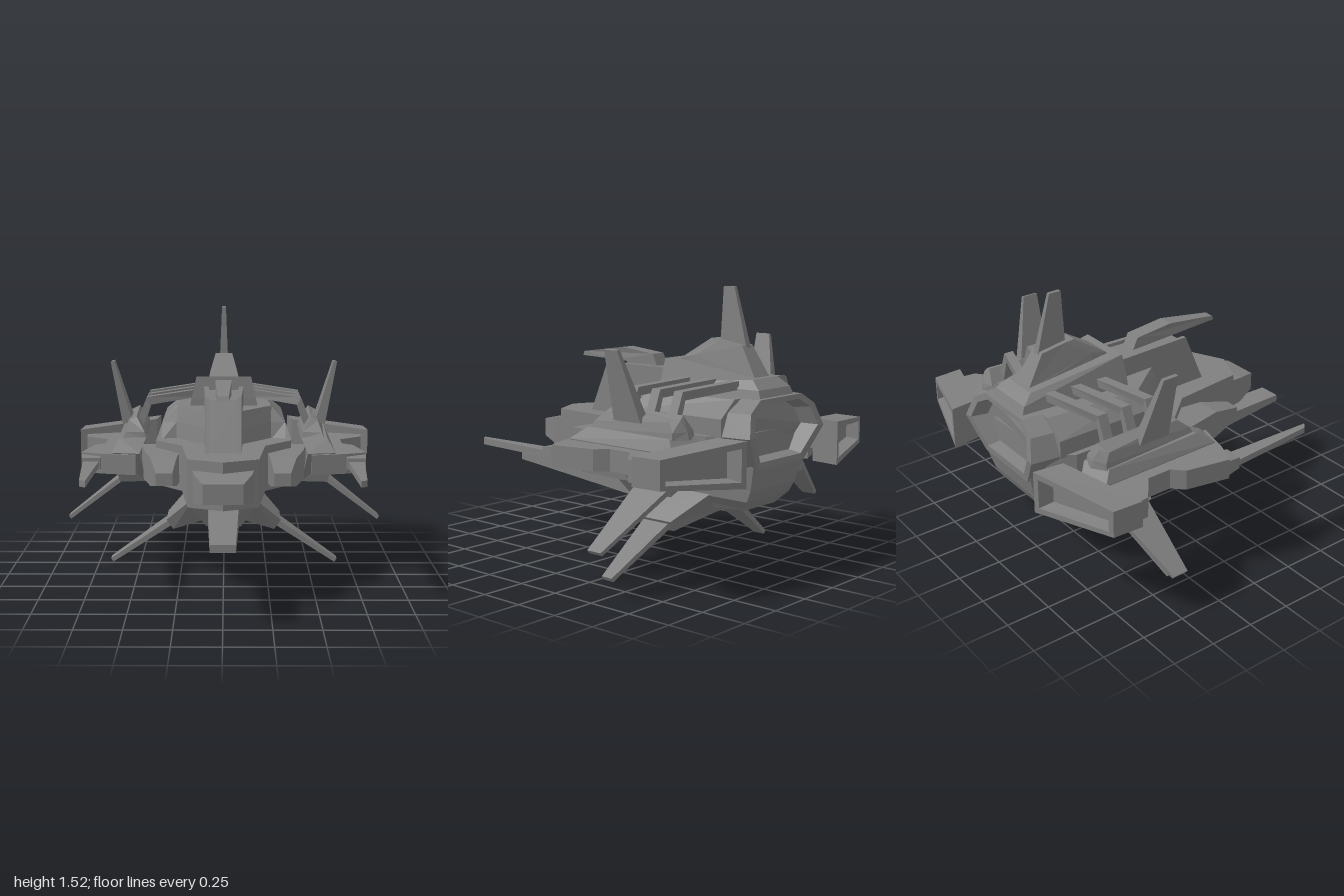
import * as THREE from 'three';

const material = new THREE.MeshStandardMaterial({ color: 0x7f7f7f, flatShading: true });

// Triangles of a ring of points, wound the same way as the ring
function capTriangles(ring) {
  const n = new THREE.Vector3();
  ring.forEach((p, i) => {
    const q = ring[(i + 1) % ring.length];
    n.x += p[1] * q[2] - p[2] * q[1];
    n.y += p[2] * q[0] - p[0] * q[2];
    n.z += p[0] * q[1] - p[1] * q[0];
  });
  const size = n.toArray().map(Math.abs);
  const axis = size.indexOf(Math.max(...size));
  const u = (axis + 1) % 3, v = (axis + 2) % 3;
  const flip = n.getComponent(axis) < 0;
  const points = flip ? [...ring].reverse() : ring;
  const flat = points.map((p) => new THREE.Vector2(p[u], p[v]));
  return THREE.ShapeUtils.triangulateShape(flat, []).map(([a, b, c]) =>
    flip ? [points[a], points[c], points[b]] : [points[a], points[b], points[c]]);
}

// Closed solid through a list of rings with equal point counts
function loft(rings) {
  const tris = capTriangles(rings[0]).map(([a, b, c]) => [a, c, b]);
  for (let i = 0; i + 1 < rings.length; i++) {
    const A = rings[i], B = rings[i + 1];
    for (let j = 0; j < A.length; j++) {
      const k = (j + 1) % A.length;
      tris.push([A[j], A[k], B[k]], [A[j], B[k], B[j]]);
    }
  }
  tris.push(...capTriangles(rings[rings.length - 1]));
  // Turn the solid right side out if its volume is negative
  const volume = tris.reduce((s, [a, b, c]) => s
    + a[0] * (b[1] * c[2] - b[2] * c[1])
    + a[1] * (b[2] * c[0] - b[0] * c[2])
    + a[2] * (b[0] * c[1] - b[1] * c[0]), 0);
  const out = volume < 0 ? tris.map(([a, b, c]) => [a, c, b]) : tris;
  const geometry = new THREE.BufferGeometry();
  geometry.setAttribute('position', new THREE.Float32BufferAttribute(out.flat(2), 3));
  geometry.computeVertexNormals();
  return geometry;
}

// Ring builders
const level = (y, outline) => outline.map(([x, z]) => [x, y, z]);
const both = (half) => [...half, ...half.map(([x, ...r]) => [-x, ...r]).reverse()];
const rect = (z, x0, x1, y0, y1) => [[x0, y0, z], [x1, y0, z], [x1, y1, z], [x0, y1, z]];
function shrink(ring, kx, ky, dz = 0) {
  const c = [0, 1, 2].map((i) => ring.reduce((s, p) => s + p[i], 0) / ring.length);
  return ring.map((p) => [c[0] + (p[0] - c[0]) * kx, c[1] + (p[1] - c[1]) * ky, c[2] + (p[2] - c[2]) * kx + dz]);
}
// Thin slice of a fin: centre in xy, thickness across direction d, extent in z
const slice = ([x, y], d, t, z0, z1) => {
  const l = Math.hypot(...d), nx = -d[1] / l * t / 2, ny = d[0] / l * t / 2;
  return [[x + nx, y + ny, z0], [x - nx, y - ny, z0], [x - nx, y - ny, z1], [x + nx, y + ny, z1]];
};
function finRings(root, tip, rootZ, tipZ, t0, t1) {
  const d = [tip[0] - root[0], tip[1] - root[1]];
  return [slice(root, d, t0, ...rootZ), slice(tip, d, t1, ...tipZ)];
}

export function createModel() {
  const model = new THREE.Group();
  const part = (name, rings) => {
    const mesh = new THREE.Mesh(loft(rings), material);
    mesh.name = name;
    model.add(mesh);
  };
  const pair = (name, rings) => {
    part(name + 'Left', rings);
    part(name + 'Right', rings.map((r) => r.map(([x, y, z]) => [-x, y, z])));
  };

  // Central hull and nose
  const deck = [...both([[0.19, 0.52], [0.235, 0.1], [0.39, -0.08], [0.39, -0.72], [0.3, -0.85]]), [0, 0.61]];
  part('mainDeck', [level(0.52, deck), level(0.78, deck)]);
  part('nose', [rect(0.5, -0.165, 0.165, 0.55, 0.725), rect(0.61, -0.155, 0.155, 0.56, 0.72),
    rect(0.74, -0.105, 0.105, 0.585, 0.69)]);
  part('shoulders', [
    level(0.77, both([[0.1, 0.06], [0.275, -0.16], [0.36, -0.14], [0.36, -0.8]])),
    level(0.87, both([[0.1, 0.03], [0.275, -0.19], [0.36, -0.2], [0.36, -0.8]])),
    level(0.96, both([[0.1, -0.01], [0.27, -0.23], [0.28, -0.24], [0.25, -0.8]]))]);

  // Lower hull and long forward blade
  part('lowerHull', [
    level(0.62, both([[0.2, 0.1], [0.23, -0.91]])),
    level(0.48, both([[0.2, 0.09], [0.2, -0.87]])),
    level(0.42, both([[0.19, 0.06], [0.19, -0.84]])),
    both([[0.1, 0.29, 0], [0.13, 0.36, -0.79]])]);
  part('forwardBlade', [rect(0.02, -0.09, 0.09, 0.31, 0.44), rect(1, -0.065, 0.065, 0.4, 0.44)]);

  // Canopy with side ribs and the prong above it
  const canopySide = (x, lift) => [[x, 0.77, 0.34 + lift], [x, 1.05 + lift, 0.21 + lift],
    [x * 1.2, 1.05 + lift, -0.3], [x * 1.2, 0.77, -0.3]];
  part('canopy', [canopySide(-0.08, 0), canopySide(0.08, 0)]);
  pair('canopyRib', [canopySide(0.075, 0.02), canopySide(0.098, 0.02)]);
  const prong = (x) => [[x * 0.65, 1.085, 0.49], [x * 0.65, 1.11, 0.48], [x, 1.155, 0.16],
    [x, 1.13, -0.07], [x, 1.065, -0.1], [x, 1.08, 0.2]];
  part('topProng', [prong(-0.045), prong(0.045)]);

  // Upper block, tail base and tail fin
  part('upperBlock', [
    both([[0.2, 0.95, -0.25], [0.15, 0.95, -0.89]]),
    both([[0.19, 1.0, -0.25], [0.14, 1.0, -0.87]]),
    both([[0.16, 1.13, -0.26], [0.11, 1.05, -0.81]])]);
  part('tailBase', [
    both([[0.09, 1.08, -0.28], [0.09, 1.08, -0.4], [0.07, 1.03, -0.8]]),
    both([[0.085, 1.13, -0.31], [0.08, 1.15, -0.4], [0.065, 1.05, -0.79]]),
    both([[0.05, 1.245, -0.49], [0.05, 1.24, -0.55], [0.045, 1.215, -0.69]])]);
  part('tailFin', [level(1.2, both([[0.025, -0.53], [0.02, -0.7]])), level(1.52, both([[0.012, -0.54], [0.01, -0.61]]))]);

  // Rear engine housing with a recessed opening
  const octagon = both([[0.2, 0.96], [0.31, 0.9], [0.36, 0.78], [0.23, 0.6]]);
  const rear = octagon.map(([x, y]) => [x * 0.92, y, -0.96 + Math.abs(y - 0.78) * 0.25]);
  part('engineHousing', [octagon.map(([x, y]) => [x, y, -0.76]), rear,
    shrink(rear, 0.86, 0.82), shrink(rear, 0.78, 0.72, 0.09)]);

  // Side intakes
  pair('intake', [rect(-0.18, 0.24, 0.48, 0.56, 0.74), rect(0, 0.245, 0.455, 0.565, 0.735),
    rect(0.21, 0.26, 0.405, 0.57, 0.73), rect(0.4, 0.275, 0.365, 0.61, 0.68)]);

  // Outboard pods with their wings
  pair('podCore', [
    level(0.54, [[0.45, -0.08], [0.6, -0.06], [0.62, -0.7], [0.5, -0.75]]),
    level(0.72, [[0.48, 0.03], [0.64, 0], [0.65, -0.72], [0.5, -0.77]]),
    level(0.79, [[0.45, -0.12], [0.6, -0.1], [0.62, -0.68], [0.47, -0.73]])]);
  const wing = [[0.5, 0.05], [0.7, 0], [0.82, -0.05], [0.77, -0.3], [0.71, -0.36], [0.71, -0.5],
    [0.85, -0.61], [0.86, -0.72], [0.53, -0.84]];
  pair('podWing', [level(0.6, wing), level(0.715, wing)]);

  // Forward prongs of the pods and their housings
  pair('prongHousing', [rect(-0.3, 0.7, 0.765, 0.625, 0.7), rect(-0.05, 0.7, 0.82, 0.62, 0.705), rect(0.03, 0.705, 0.81, 0.63, 0.695)]);
  const prongOutline = [[0.71, -0.05], [0.81, -0.05], [0.76, 0.55], [0.725, 0.58]];
  pair('podProng', [level(0.64, prongOutline), level(0.675, prongOutline)]);

  // Angled pod thrusters with recessed openings
  const nozzle = (xi, zi, xo, zo) => [[xi, 0.55, zi], [xo, 0.595, zo], [xo, 0.745, zo], [xi, 0.79, zi]];
  const exit = nozzle(0.41, -1, 0.89, -0.85);
  pair('podThruster', [nozzle(0.43, -0.83, 0.9, -0.68), exit, shrink(exit, 0.88, 0.7), shrink(exit, 0.84, 0.6, 0.08)]);

  // Rails on the pods, with the struts that reach them from the upper block
  pair('podRail', [
    level(0.78, [[0.45, -0.12], [0.58, -0.1], [0.615, -0.69], [0.54, -0.74], [0.46, -0.71]]),
    level(0.82, [[0.46, -0.13], [0.57, -0.12], [0.61, -0.69], [0.54, -0.73], [0.47, -0.71]]),
    [[0.51, 0.9, -0.2], [0.55, 0.88, -0.19], [0.595, 0.87, -0.66], [0.56, 0.88, -0.7], [0.525, 0.9, -0.69]]]);
  for (const z of [-0.6, -0.45, -0.3]) {
    const cut = (x, y, zc, dx, dy) => [[x, y, zc - 0.028], [x + dx, y + dy, zc - 0.028],
      [x + dx, y + dy, zc + 0.028], [x, y, zc + 0.028]];
    pair('strut', [cut(0.14, 1.04, z - 0.115, 0, -0.045), cut(0.455, 1.005, z, -0.02, -0.045),
      cut(0.53, 0.82, z, -0.05, 0)]);
  }

  // Fins above and below the pods
  pair('upperFin', finRings([0.57, 0.85], [0.655, 1.215], [-0.285, -0.47], [-0.28, -0.37], 0.06, 0.02));
  pair('lowerFinRoot', [level(0.57, [[0.45, -0.38], [0.62, -0.38], [0.62, -0.67], [0.45, -0.67]]),
    [[0.46, 0.53, -0.42], [0.575, 0.485, -0.42], [0.575, 0.485, -0.65], [0.46, 0.53, -0.65]]]);
  pair('lowerFin', finRings([0.55, 0.54], [0.945, 0.24], [-0.43, -0.66], [-0.43, -0.52], 0.03, 0.022));

  // Landing fins under the hull
  pair('landingFinRoot', [
    [[0.17, 0.45, -0.04], [0.08, 0.31, -0.12], [0.08, 0.31, -0.56], [0.17, 0.45, -0.62]],
    [[0.34, 0.28, -0.2], [0.3, 0.222, -0.21], [0.3, 0.222, -0.44], [0.34, 0.28, -0.45]]]);
  pair('landingFin', finRings([0.3, 0.265], [0.674, 0.014], [-0.25, -0.43], [-0.27, -0.34], 0.035, 0.025));

  return model;
}
